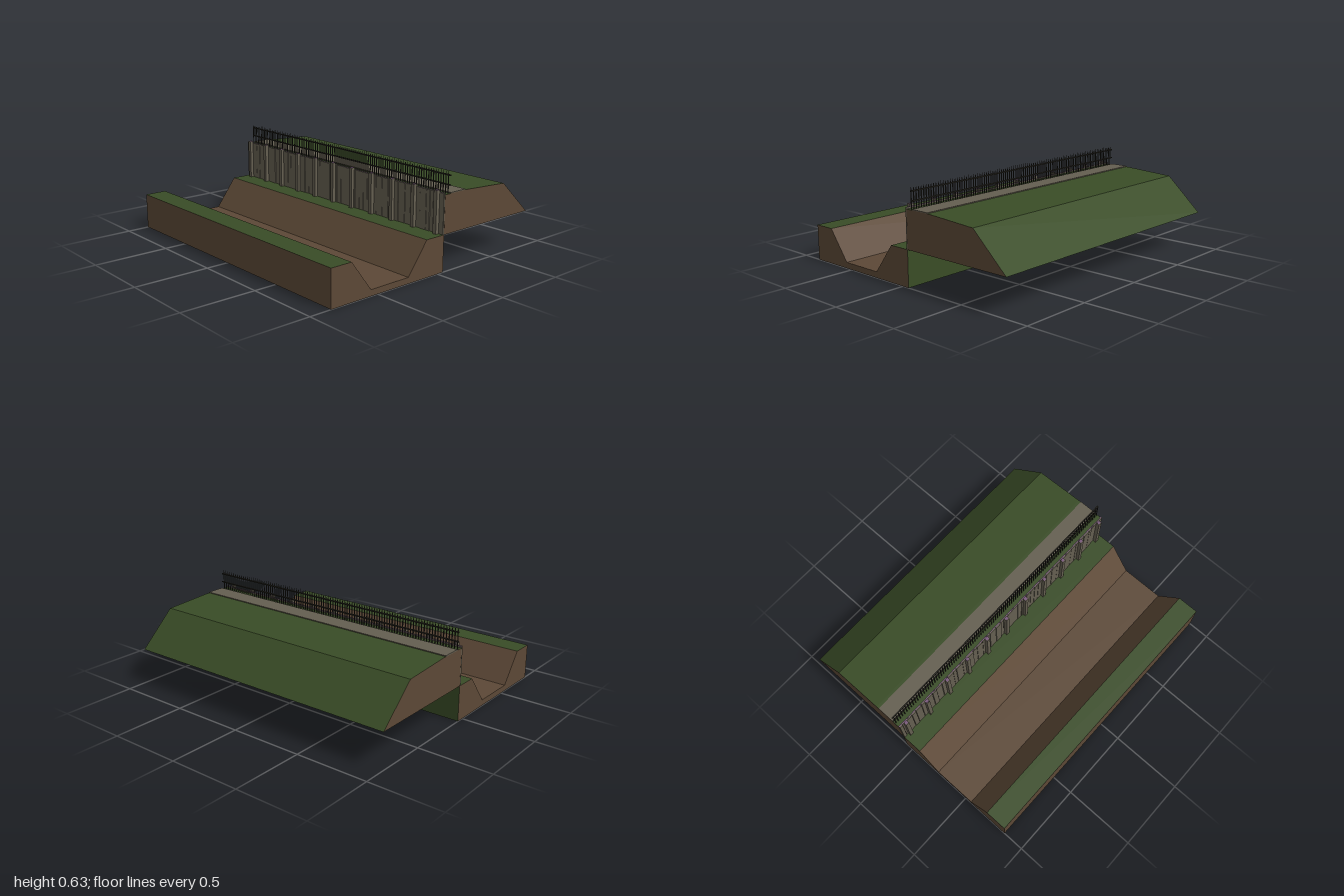
import * as THREE from 'three';

const material = (name, color, side = THREE.FrontSide) => {
  const m = new THREE.MeshStandardMaterial({ color, side });
  m.name = name;
  return m;
};

// Prism along x from a [z, y] outline; grassEdges lists the outline edges covered in grass.
function earthwork(outline, grassEdges) {
  const pos = [], geo = new THREE.BufferGeometry();
  const n = outline.length;
  const corner = (i, x) => [x, outline[i % n][1], outline[i % n][0]];
  const quad = i => pos.push(...corner(i, -1), ...corner(i + 1, -1), ...corner(i + 1, 1),
    ...corner(i, -1), ...corner(i + 1, 1), ...corner(i, 1));
  // bare soil: remaining edges and both ends
  for (let i = 0; i < n; i++) if (!grassEdges.includes(i)) quad(i);
  const flat = outline.map(([z, y]) => new THREE.Vector2(-z, y));
  for (const [a, b, c] of THREE.ShapeUtils.triangulateShape(flat, [])) {
    pos.push(...corner(a, 1), ...corner(b, 1), ...corner(c, 1));
    pos.push(...corner(c, -1), ...corner(b, -1), ...corner(a, -1));
  }
  const soilCount = pos.length / 3;
  grassEdges.forEach(quad);
  geo.setAttribute('position', new THREE.Float32BufferAttribute(pos, 3));
  geo.computeVertexNormals();
  geo.addGroup(0, soilCount, 0);
  geo.addGroup(soilCount, pos.length / 3 - soilCount, 1);
  return geo;
}

export function createModel() {
  const soil = material('soil', 0x5c4836);
  const grass = material('grass', 0x394c26);
  const stone = material('weatheredStone', 0x645e50);
  const iron = material('darkIron', 0x28261f);
  const capping = material('mauveCapping', 0x78597a);

  const model = new THREE.Group();
  model.name = 'ditchAndRampart';
  const add = (parent, name, geo, mat, x = 0, y = 0, z = 0) => {
    const mesh = new THREE.Mesh(geo, mat);
    mesh.name = name;
    mesh.position.set(x, y, z);
    parent.add(mesh);
    return mesh;
  };
  const group = name => {
    const g = new THREE.Group();
    g.name = name;
    model.add(g);
    return g;
  };
  let seed = 7;
  const rand = () => (seed = (seed * 16807) % 2147483647) / 2147483647;

  // Lower ground with the sunken ditch
  add(model, 'ditchGround', earthwork([
    [0.85, 0], [-0.05, 0], [-0.05, 0.24], [0.1, 0.24],
    [0.25, 0.04], [0.55, 0.04], [0.7, 0.24], [0.85, 0.24],
  ], [1, 2, 6]), [soil, grass]);

  // Raised bank behind the wall
  add(model, 'rampartBank', earthwork([
    [-0.05, 0.24], [-0.85, 0.24], [-0.6, 0.47], [-0.25, 0.49], [-0.05, 0.49],
  ], [1, 2, 3]), [soil, grass]);

  // Walkway along the top of the bank
  add(model, 'walkway', new THREE.BoxGeometry(2, 0.008, 0.13), stone, 0, 0.492, -0.165);

  // Retaining wall of upright boards of uneven width and depth
  const wall = group('retainingWall');
  add(wall, 'wallBacking', new THREE.BoxGeometry(2, 0.26, 0.004), stone, 0, 0.37, -0.047);
  for (let x = -1; x < 0.999;) {
    let w = 0.025 + 0.035 * rand();
    if (x + w > 0.98) w = 1 - x;
    const d = 0.004 + 0.006 * rand();
    add(wall, 'wallBoard', new THREE.BoxGeometry(w - 0.003, 0.26, d), stone, x + w / 2, 0.37, -0.046 + d / 2);
    x += w;
  }
  add(wall, 'wallCapping', new THREE.BoxGeometry(2, 0.002, 0.006), capping, 0, 0.5, -0.049);

  // Posts standing in front of the wall
  for (let i = 0; i < 11; i++) {
    const x = -0.95 + i * 0.19;
    add(wall, 'wallPost', new THREE.BoxGeometry(0.026, 0.273, 0.025), stone, x, 0.3765, -0.0285);
    add(wall, 'postCap', new THREE.BoxGeometry(0.022, 0.002, 0.02), capping, x, 0.514, -0.0305);
  }

  // Railing of pointed bars with two rails
  const fence = group('railing');
  const bar = new THREE.CylinderGeometry(0.0035, 0.0035, 0.12, 6);
  const tip = new THREE.ConeGeometry(0.0035, 0.022, 6);
  for (let i = 0; i < 100; i++) {
    const x = -0.99 + i * 0.02;
    add(fence, 'railingBar', bar, iron, x, 0.549, -0.084);
    add(fence, 'railingTip', tip, iron, x, 0.62, -0.084);
  }
  for (const y of [0.543, 0.603])
    add(fence, 'rail', new THREE.BoxGeometry(2, 0.008, 0.008), iron, 0, y, -0.092);

  return model;
}
